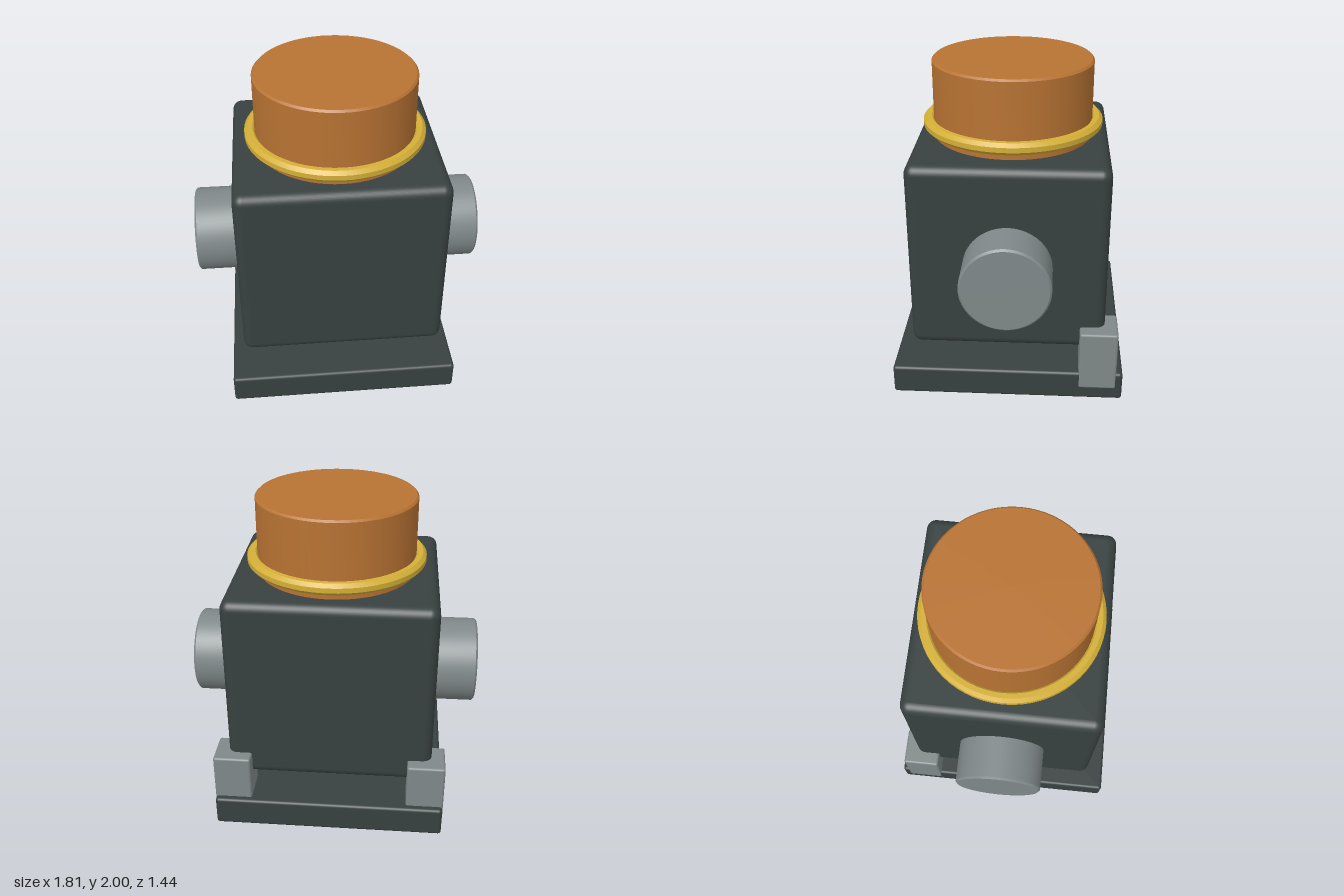
import * as THREE from 'three';
import { toCreasedNormals } from 'three/addons/utils/BufferGeometryUtils.js';
import { RoundedBoxGeometry } from 'three/addons/geometries/RoundedBoxGeometry.js';

const paint = (name, color) => {
  const material = new THREE.MeshStandardMaterial({ color });
  material.name = name;
  return material;
};

// Solid cylinder along y with a small bevel on both rims
function bevelledCylinder(radius, height, bevel) {
  const h = height / 2;
  const profile = [
    [0, -h], [radius - bevel, -h], [radius, -h + bevel],
    [radius, h - bevel], [radius - bevel, h], [0, h],
  ].map(([x, y]) => new THREE.Vector2(x, y));
  return toCreasedNormals(new THREE.LatheGeometry(profile, 64), 0.6);
}

// Ring with an eight-sided section, flat on top and outside
function facetedRing(radius, tube) {
  const profile = [];
  for (let i = 0; i <= 8; i++) {
    const a = (i + 0.5) * Math.PI / 4;
    profile.push(new THREE.Vector2(radius + tube * Math.cos(a), tube * Math.sin(a)));
  }
  return toCreasedNormals(new THREE.LatheGeometry(profile, 64), 0.5);
}

export function createModel() {
  const model = new THREE.Group();
  model.name = 'model';
  const iron = paint('dark iron', 0x384040);
  const steel = paint('grey steel', 0x808889);
  const copper = paint('copper', 0xb87333);
  const gold = paint('gold', 0xd4af37);

  const add = (name, geometry, material, x, y, z) => {
    const mesh = new THREE.Mesh(geometry, material);
    mesh.name = name;
    mesh.position.set(x, y, z);
    model.add(mesh);
    return mesh;
  };

  // Base plate and main housing
  add('basePlate', new RoundedBoxGeometry(1.44, 0.19, 1.44, 3, 0.02), iron, 0, 0.095, 0);
  add('housing', new RoundedBoxGeometry(1.28, 1.2, 1.2, 5, 0.06), iron, 0, 0.922, 0);

  // Copper cap with its collar
  add('cap', bevelledCylinder(0.495, 0.6, 0.012), copper, 0, 1.7, 0);
  add('collar', facetedRing(0.521, 0.04), gold, 0, 1.605, 0);

  // Side pivots and rear support posts
  for (const side of [-1, 1]) {
    const prefix = side > 0 ? 'left' : 'right';
    const pivot = add(prefix + 'Pivot', bevelledCylinder(0.27, 0.36, 0.012), steel, side * 0.725, 0.885, 0);
    pivot.rotation.z = -side * Math.PI / 2;
    add(prefix + 'RearPost', new RoundedBoxGeometry(0.235, 0.4, 0.235, 3, 0.015), steel, side * 0.607, 0.28, -0.562);
  }
  return model;
}
